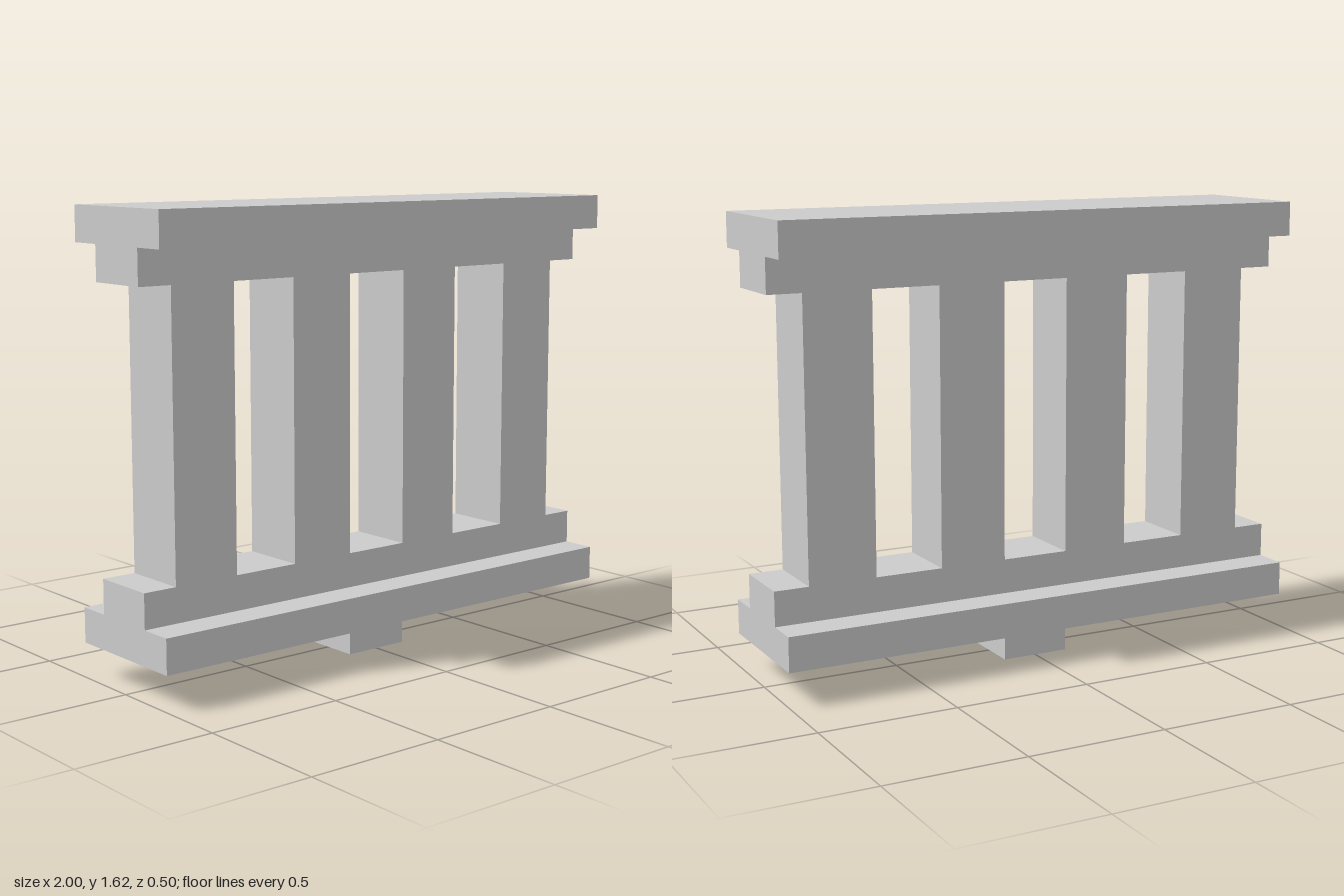
import * as THREE from 'three';

const material = new THREE.MeshStandardMaterial({ color: 0xcccccc, flatShading: true });

// Box resting on height y, centred on x and z
function addBlock(group, name, width, height, depth, y) {
  const mesh = new THREE.Mesh(new THREE.BoxGeometry(width, height, depth), material);
  mesh.name = name;
  mesh.position.y = y + height / 2;
  group.add(mesh);
}

// Inner rails and four square balusters in one piece, with three openings
function balusterPanel() {
  const bottom = 0.25, low = 0.375, high = 1.375, top = 1.5;
  const outline = new THREE.Shape([
    [-1, bottom], [1, bottom], [1, low], [0.875, low], [0.875, high], [1, high],
    [1, top], [-1, top], [-1, high], [-0.875, high], [-0.875, low], [-1, low],
  ].map(([x, y]) => new THREE.Vector2(x, y)));

  for (const x of [-0.5, 0, 0.5]) {
    const l = x - 0.125, r = x + 0.125;
    outline.holes.push(new THREE.Path([
      new THREE.Vector2(l, low), new THREE.Vector2(l, high),
      new THREE.Vector2(r, high), new THREE.Vector2(r, low),
    ]));
  }
  const geometry = new THREE.ExtrudeGeometry(outline, { depth: 0.25, bevelEnabled: false });
  geometry.translate(0, 0, -0.125);
  const mesh = new THREE.Mesh(geometry, material);
  mesh.name = 'balusterPanel';
  return mesh;
}

export function createModel() {
  const group = new THREE.Group();
  group.name = 'balustrade';
  addBlock(group, 'foot', 0.25, 0.125, 0.25, 0);
  addBlock(group, 'basePlinth', 2, 0.125, 0.5, 0.125);
  group.add(balusterPanel());
  addBlock(group, 'handrail', 2, 0.125, 0.5, 1.5);
  return group;
}
